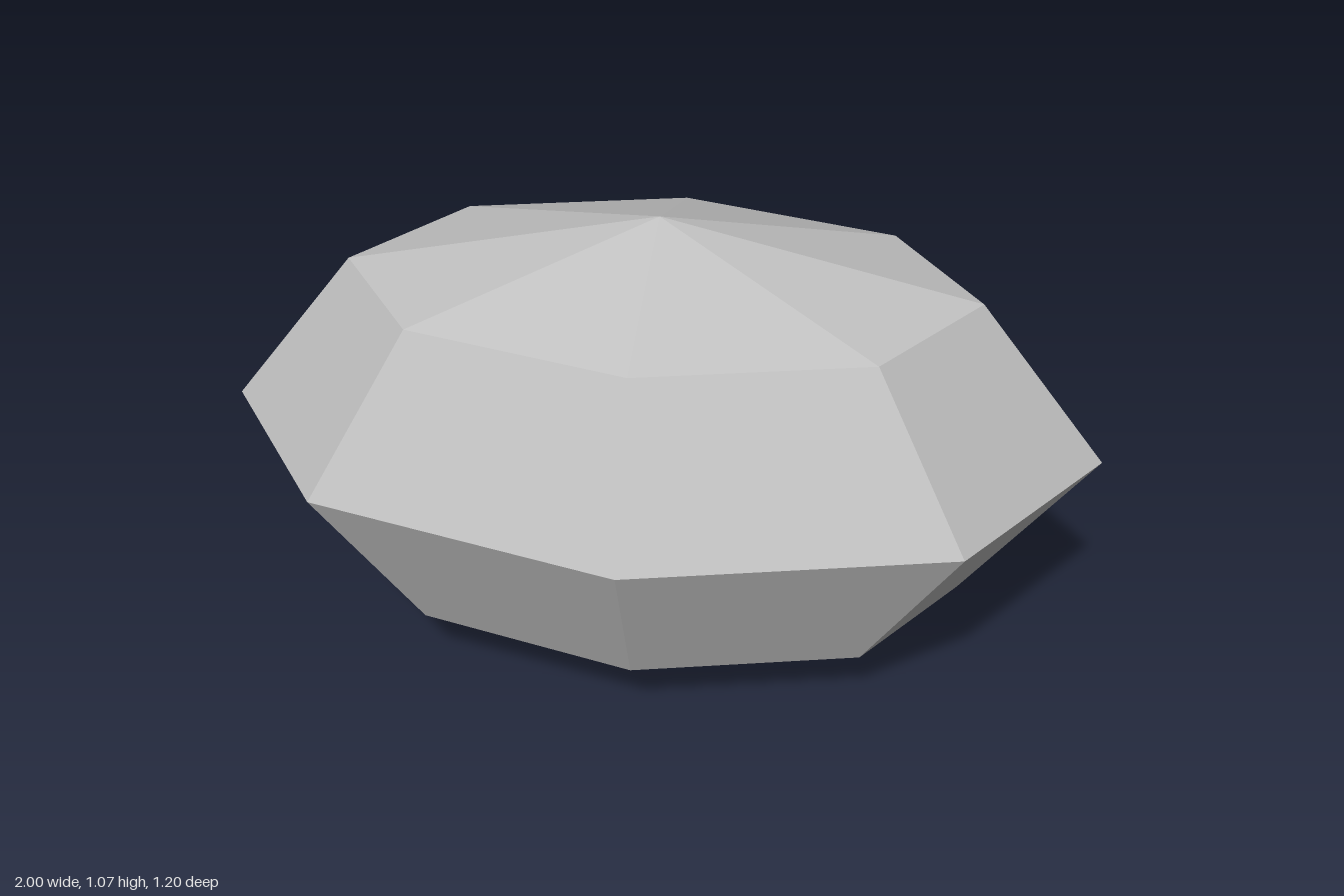
import * as THREE from 'three';

export function createModel() {
  const group = new THREE.Group();
  group.name = 'rock';

  const stoneGrey = new THREE.MeshStandardMaterial({ color: 0xc0c0c0, flatShading: true });
  stoneGrey.name = 'stoneGrey';

  // Faceted ellipsoid: eight sides, four bands, flat normals
  const halfHeight = 0.534;
  const geometry = new THREE.SphereGeometry(1, 8, 4)
    .scale(1, halfHeight, 0.6)
    .translate(0, halfHeight, 0)
    .toNonIndexed();
  geometry.computeVertexNormals();

  const stone = new THREE.Mesh(geometry, stoneGrey);
  stone.name = 'facetedStone';
  group.add(stone);
  return group;
}
